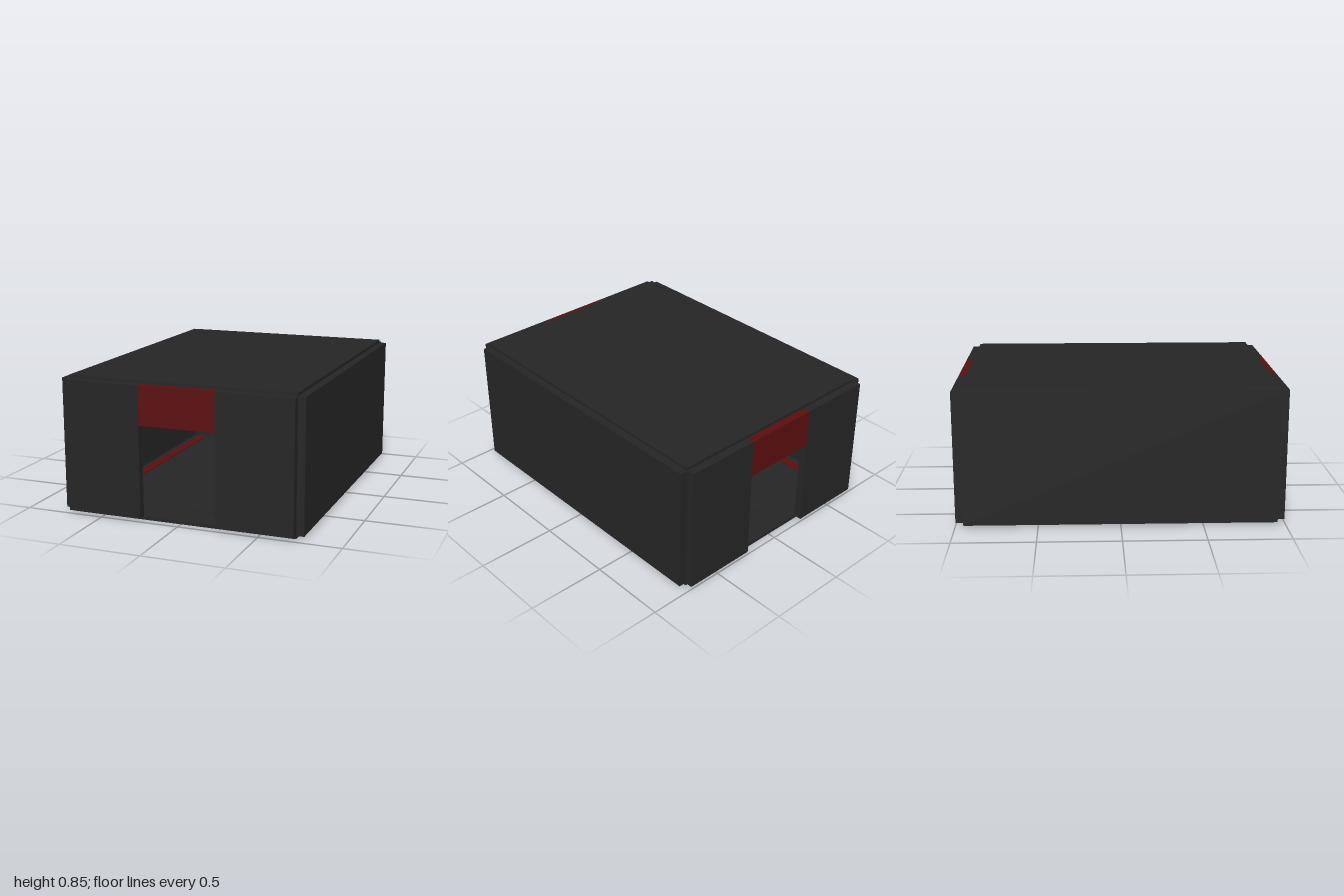
import * as THREE from 'three';

export function createModel() {
  const model = new THREE.Group();
  const charcoal = new THREE.MeshStandardMaterial({ color: 0x252525 });
  charcoal.name = 'charcoal';
  const darkRed = new THREE.MeshStandardMaterial({ color: 0x5a0e0e });
  darkRed.name = 'dark red';

  // Box given by its minimum and maximum corners
  function block(name, material, [x0, y0, z0], [x1, y1, z1]) {
    const geometry = new THREE.BoxGeometry(x1 - x0, y1 - y0, z1 - z0);
    const mesh = new THREE.Mesh(geometry, material);
    mesh.position.set((x0 + x1) / 2, (y0 + y1) / 2, (z0 + z1) / 2);
    mesh.name = name;
    model.add(mesh);
  }

  const X = 0.715, Z = 0.95, T = 0.047; // inner half sizes, wall thickness
  const LOW = 0.02, HIGH = 0.83, TOP = 0.85;
  const DOOR = 0.24, DOOR_TOP = 0.59;

  // Floor and roof slabs
  block('floor', charcoal, [-X, 0, -Z], [X, LOW, Z]);
  block('roof', charcoal, [-X, HIGH, -Z], [X, TOP, Z]);
  block('floorPanel', charcoal, [-0.14, LOW, -0.75], [0.14, LOW + 0.004, 0.75]);

  // Long side walls, floor trim and ceiling rails
  for (const [side, s] of [['left', 1], ['right', -1]]) {
    const span = (a, b) => (s > 0 ? [a, b] : [-b, -a]);
    const [w0, w1] = span(X, X + T);
    block(side + 'Wall', charcoal, [w0, LOW, -Z], [w1, HIGH, Z]);
    const [t0, t1] = span(0.62, 0.68);
    block(side + 'FloorTrim', darkRed, [t0, LOW, -0.9], [t1, LOW + 0.005, 0.9]);
    const [r0, r1] = span(0.64, X);
    block(side + 'CeilingRail', charcoal, [r0, HIGH - 0.025, -0.9], [r1, HIGH, 0.9]);
  }

  // End walls with a doorway and red lintel, and a ceiling beam behind each
  for (const [end, s] of [['front', 1], ['back', -1]]) {
    const z0 = s > 0 ? Z : -1;
    const z1 = z0 + 0.05;
    block(end + 'WallLeft', charcoal, [DOOR, LOW, z0], [X, HIGH, z1]);
    block(end + 'WallRight', charcoal, [-X, LOW, z0], [-DOOR, HIGH, z1]);
    block(end + 'Lintel', darkRed, [-DOOR, DOOR_TOP, z0], [DOOR, HIGH, z1]);
    block(end + 'CeilingBeam', charcoal, [-X, HIGH - 0.04, s * 0.5 - 0.03], [X, HIGH, s * 0.5 + 0.03]);
  }

  return model;
}
